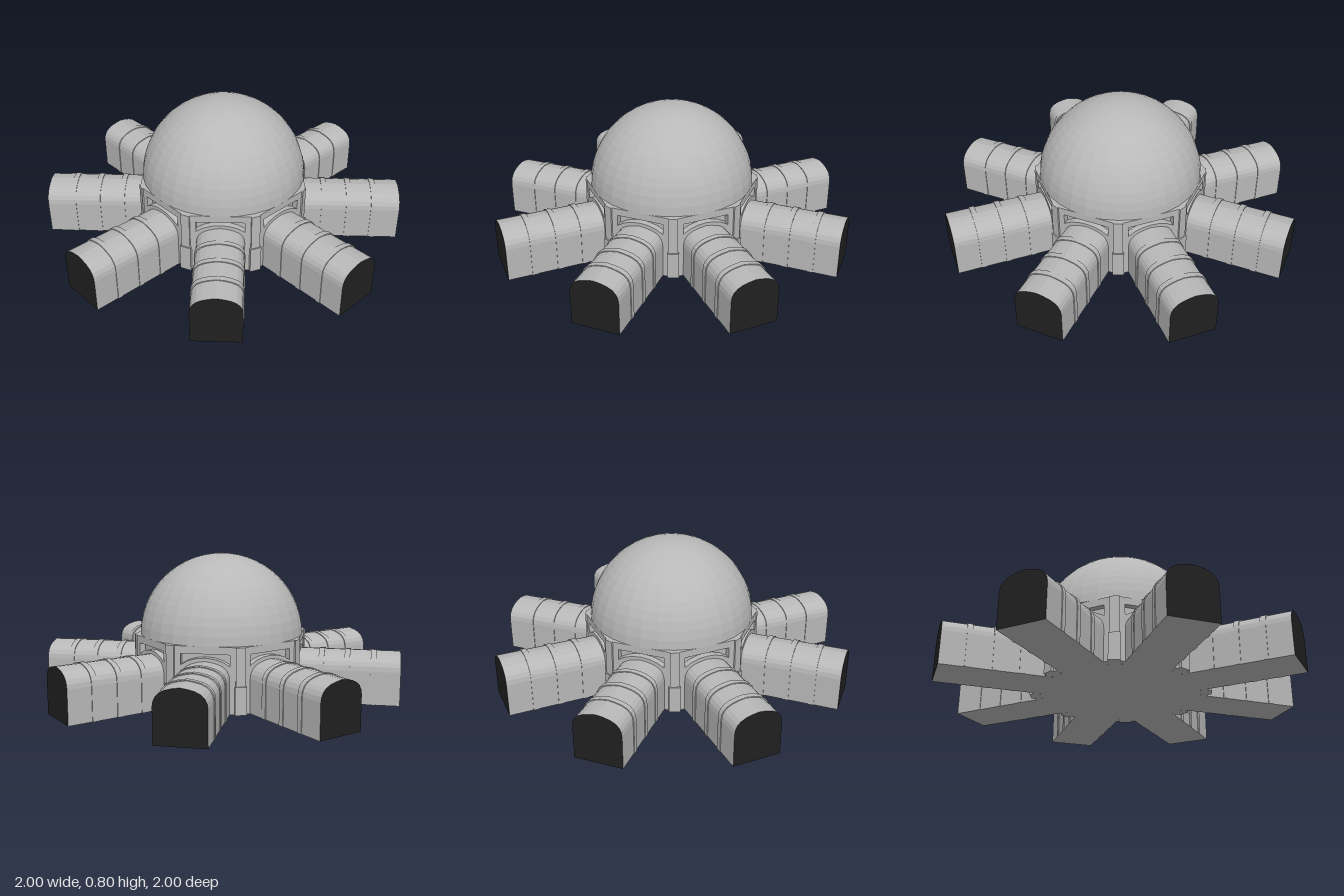
import * as THREE from 'three';

const stone = new THREE.MeshStandardMaterial({ color: 0xb8b8b8, flatShading: true });
stone.name = 'grey stone';
const dark = new THREE.MeshStandardMaterial({ color: 0x202020, flatShading: true });
dark.name = 'dark opening';

const SIDES = 8, WALL = 0.355, APOTHEM = 0.455;

function add(parent, name, geometry, material, x = 0, y = 0, z = 0) {
  const mesh = new THREE.Mesh(geometry, material);
  mesh.name = name;
  mesh.position.set(x, y, z);
  parent.add(mesh);
  return mesh;
}

// Low pointed arch on straight walls, grown outward by g
function archShape(g = 0) {
  const half = [[0.13, 0], [0.13, 0.185], [0.126, 0.21], [0.115, 0.232], [0.098, 0.249], [0.07, 0.263], [0.035, 0.272]];
  const grow = ([x, y]) => new THREE.Vector2(x + g, y > 0.19 ? y + g : y);
  const right = half.map(grow);
  const left = right.map(p => new THREE.Vector2(-p.x, p.y)).reverse();
  return new THREE.Shape([...right, new THREE.Vector2(0, 0.277 + g), ...left]);
}

// Wall of one side, with a recessed light above the tunnel roof
function wallShape() {
  const shape = new THREE.Shape([[-0.178, 0], [0.178, 0], [0.178, WALL], [-0.178, WALL]].map(p => new THREE.Vector2(...p)));
  const hole = [[-0.13, 0.315], [-0.13, 0.255], [-0.09, 0.278], [-0.045, 0.291], [0, 0.295],
    [0.045, 0.291], [0.09, 0.278], [0.13, 0.255], [0.13, 0.315]];
  shape.holes.push(new THREE.Path(hole.map(p => new THREE.Vector2(...p))));
  return shape;
}

const extrude = (shape, depth) => new THREE.ExtrudeGeometry(shape, { depth, bevelEnabled: false });

export function createModel() {
  const model = new THREE.Group();
  model.name = 'domedHall';

  // Dome and its closed underside
  const radius = 0.46, centre = 0.34;
  const cut = Math.acos((WALL - centre) / radius);
  add(model, 'dome', new THREE.SphereGeometry(radius, 32, 14, 0, Math.PI * 2, 0, cut), stone, 0, centre, 0);
  const under = add(model, 'domeUnderside', new THREE.CircleGeometry(radius, 32), stone, 0, WALL, 0);
  under.rotation.x = Math.PI / 2;

  // Inner drum seen behind the openings
  const coreR = 0.415 / Math.cos(Math.PI / SIDES);
  const core = add(model, 'core', new THREE.CylinderGeometry(coreR, coreR, WALL, SIDES), stone, 0, WALL / 2, 0);
  core.rotation.y = Math.PI / SIDES;

  const tunnelGeo = extrude(archShape(), 0.65);
  const ribGeo = extrude(archShape(0.004), 0.03);
  const wallGeo = extrude(wallShape(), 0.035);
  const postGeo = new THREE.BoxGeometry(0.05, WALL, 0.06);
  const plinthGeo = new THREE.BoxGeometry(0.062, 0.15, 0.06);

  for (let i = 0; i < SIDES; i++) {
    const angle = i * Math.PI * 2 / SIDES;

    // Wall and radiating tunnel with raised ribs
    const wing = new THREE.Group();
    wing.name = 'wing';
    wing.rotation.y = angle;
    add(wing, 'wall', wallGeo, stone, 0, 0, APOTHEM - 0.035);
    add(wing, 'tunnel', tunnelGeo, [dark, stone], 0, 0, 0.35);
    for (const z of [0.56, 0.7, 0.84]) add(wing, 'rib', ribGeo, stone, 0, 0, z);
    model.add(wing);

    // Corner post on a plinth
    const corner = new THREE.Group();
    corner.name = 'cornerPost';
    corner.rotation.y = angle + Math.PI / SIDES;
    add(corner, 'post', postGeo, stone, 0, WALL / 2, 0.46);
    add(corner, 'plinth', plinthGeo, stone, 0, 0.075, 0.467);
    model.add(corner);
  }
  return model;
}
